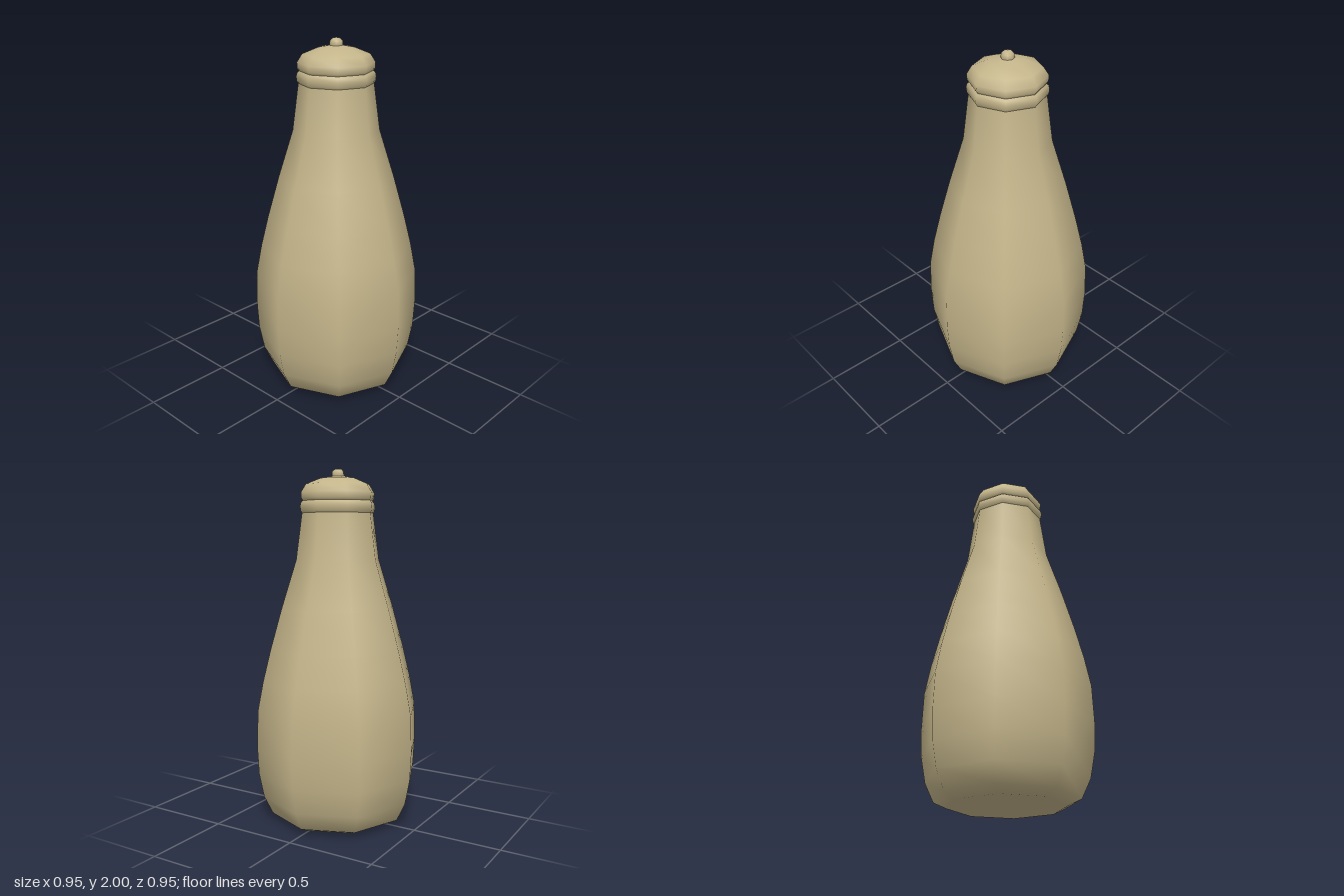
import * as THREE from 'three';

const SIDES = 8;

export function createModel() {
  const group = new THREE.Group();
  const material = new THREE.MeshStandardMaterial({ color: 0xc4b58a });

  // Octagonal turned part from [radius, height] pairs, listed bottom to top
  function turned(name, profile) {
    const points = profile.map(([r, y]) => new THREE.Vector2(r, y));
    const mesh = new THREE.Mesh(new THREE.LatheGeometry(points, SIDES), material);
    mesh.name = name;
    group.add(mesh);
  }

  // Body: flat base, rounded belly, tapering shoulder and neck
  turned('body', [
    [0, 0], [0.32, 0.004], [0.39, 0.036], [0.44, 0.14], [0.467, 0.28],
    [0.475, 0.44], [0.468, 0.65], [0.435, 0.82], [0.39, 1.0],
    [0.325, 1.23], [0.24, 1.5], [0.205, 1.76],
  ]);

  // Rounded collar around the neck
  turned('neckRing', [
    [0.203, 1.755], [0.213, 1.77], [0.216, 1.795], [0.211, 1.815], [0.2, 1.825],
  ]);

  // Domed cap with a rolled lower rim
  turned('cap', [
    [0.2, 1.825], [0.209, 1.838], [0.211, 1.87], [0.182, 1.915],
    [0.1, 1.948], [0, 1.965],
  ]);

  // Small knob on top
  turned('knob', [
    [0.033, 1.945], [0.036, 1.965], [0.034, 1.983], [0.022, 1.996], [0, 2],
  ]);

  return group;
}
